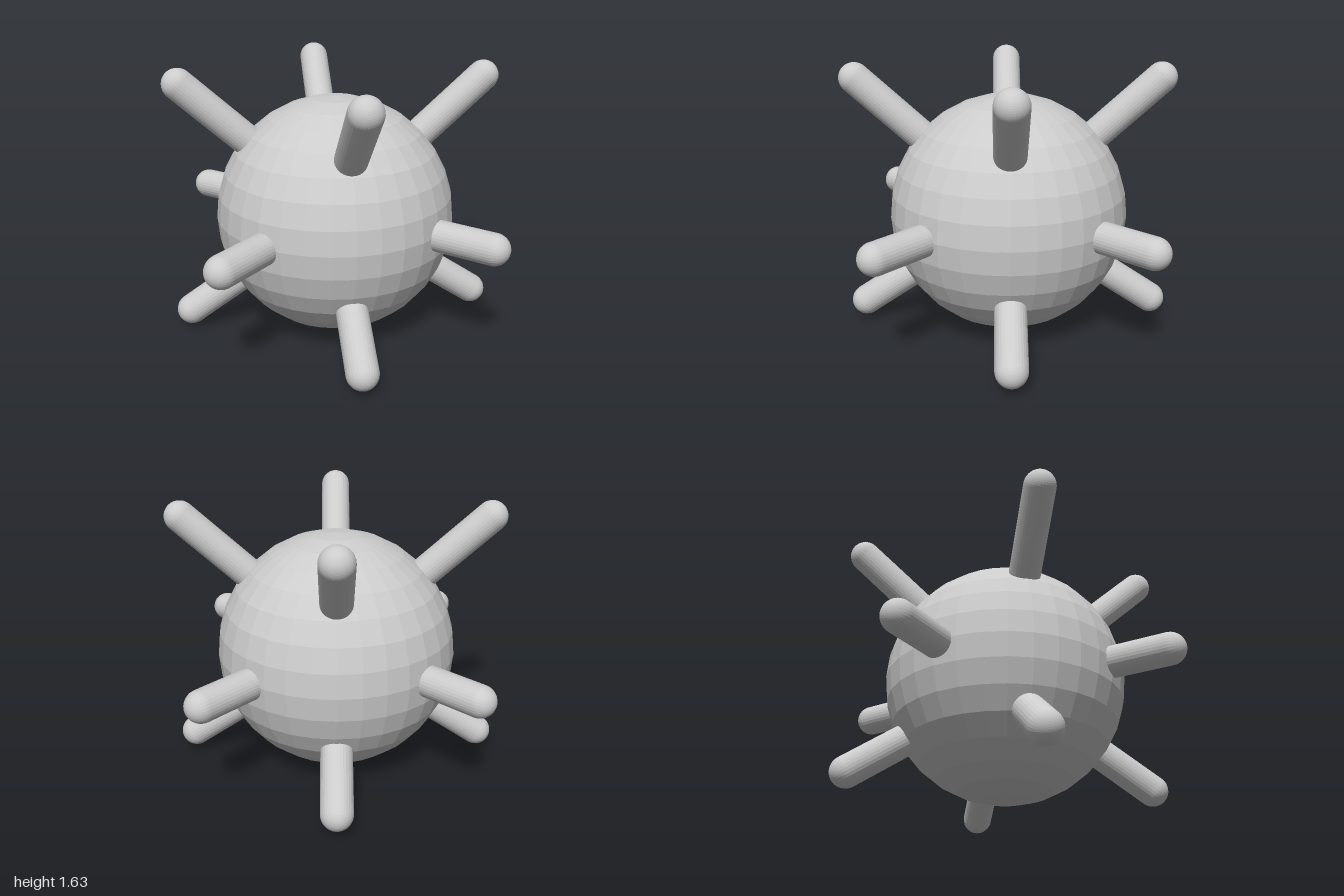
import * as THREE from 'three';

const RADIUS = 0.723;
const SPIKE_RADIUS = 0.093;

export function createModel() {
  const model = new THREE.Group();
  model.name = 'spikedBall';
  const material = new THREE.MeshStandardMaterial({ color: 0xcccccc, flatShading: true });

  // Faceted ball resting on the ground
  const ball = new THREE.Mesh(new THREE.SphereGeometry(RADIUS, 32, 16), material);
  ball.name = 'ball';
  ball.position.y = RADIUS;
  model.add(ball);

  // Round-ended rod pointing outwards from the ball; tip is the centre of its outer cap
  const centre = new THREE.Vector3(0, RADIUS, 0);
  const up = new THREE.Vector3(0, 1, 0);
  function addSpike(name, tip) {
    const dir = tip.clone().sub(centre);
    const length = dir.length() - 0.4;
    dir.normalize();
    const spike = new THREE.Mesh(new THREE.CapsuleGeometry(SPIKE_RADIUS, length, 12, 32), material);
    spike.name = name;
    spike.position.copy(tip).addScaledVector(dir, -length / 2);
    spike.quaternion.setFromUnitVectors(up, dir);
    model.add(spike);
  }

  // Three rings of four spikes; the middle ring sits between the other two
  const rings = [
    { name: 'upperSpike', tip: [0.905, 1.54, 0] },
    { name: 'middleSpike', tip: [0.766, 0.711, 0.717] },
    { name: 'lowerSpike', tip: [0.906, 0.122, 0] },
  ];
  for (const { name, tip } of rings) {
    for (let i = 0; i < 4; i++) {
      addSpike(name + (i + 1), new THREE.Vector3(...tip).applyAxisAngle(up, (i * Math.PI) / 2));
    }
  }
  return model;
}
